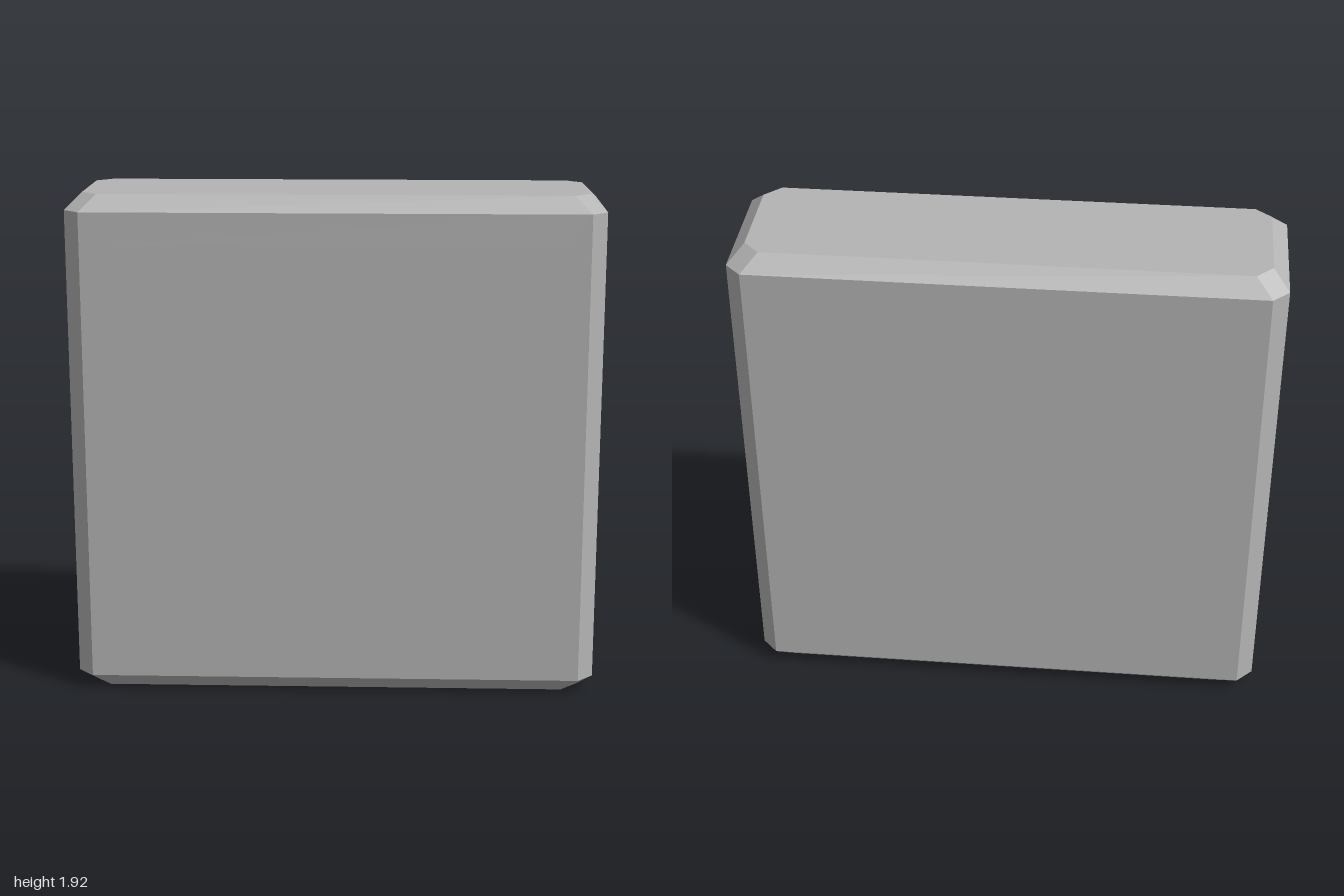
import * as THREE from 'three';

const W = 1, H = 1.925, D = 0.295, C = 0.06; // half width, height, half depth, chamfer

// Chamfered rectangle, counter-clockwise
function octagon(w, d, c) {
  return [[-w + c, -d], [w - c, -d], [w, -d + c], [w, d - c],
    [w - c, d], [-w + c, d], [-w, d - c], [-w, -d + c]].map(([x, y]) => new THREE.Vector2(x, y));
}

function rectangle(x0, y0, x1, y1) {
  return [[x0, y0], [x1, y0], [x1, y1], [x0, y1]].map(([x, y]) => new THREE.Vector2(x, y));
}

function panel(outline, hole) {
  const shape = new THREE.Shape(outline);
  if (hole) shape.holes.push(new THREE.Path(hole));
  return new THREE.ShapeGeometry(shape);
}

// Flat-faced band between two octagonal outlines; skip leaves one facet open
function band(lower, y0, upper, y1, skip = -1) {
  const pos = [];
  for (let i = 0; i < 8; i++) {
    if (i === skip) continue;
    const j = (i + 1) % 8;
    const a = [lower[i].x, y0, -lower[i].y], b = [lower[j].x, y0, -lower[j].y];
    const c = [upper[j].x, y1, -upper[j].y], d = [upper[i].x, y1, -upper[i].y];
    pos.push(...a, ...b, ...c, ...a, ...c, ...d);
  }
  const geo = new THREE.BufferGeometry();
  geo.setAttribute('position', new THREE.Float32BufferAttribute(pos, 3));
  geo.computeVertexNormals();
  return geo;
}

export function createModel() {
  const group = new THREE.Group();
  group.name = 'hollowCase';
  const grey = new THREE.MeshStandardMaterial({ color: 0xb4b4b4, side: THREE.DoubleSide });
  grey.name = 'grey';
  const add = (name, geo) => {
    const mesh = new THREE.Mesh(geo, grey);
    mesh.name = name;
    group.add(mesh);
  };

  const full = octagon(W, D, C), inset = octagon(W - C, D - C, C);

  // Thin hollow shell: side walls and chamfered rims
  add('sideWalls', band(full, C, full, H - C, 0));
  add('bottomChamfer', band(inset, 0, full, C));
  add('topChamfer', band(full, H - C, inset, H));

  // Front panel with the screen opening
  add('frontPanel', panel(rectangle(-W + C, C, W - C, H - C),
    rectangle(-0.84, 0.48, 0.84, 1.745)).translate(0, 0, D));

  // Closed top, and base with a chamfered square opening
  add('topPanel', panel(inset).rotateX(-Math.PI / 2).translate(0, H, 0));
  add('basePanel', panel(inset, octagon(0.2, 0.2, 0.045)).rotateX(Math.PI / 2));

  return group;
}
